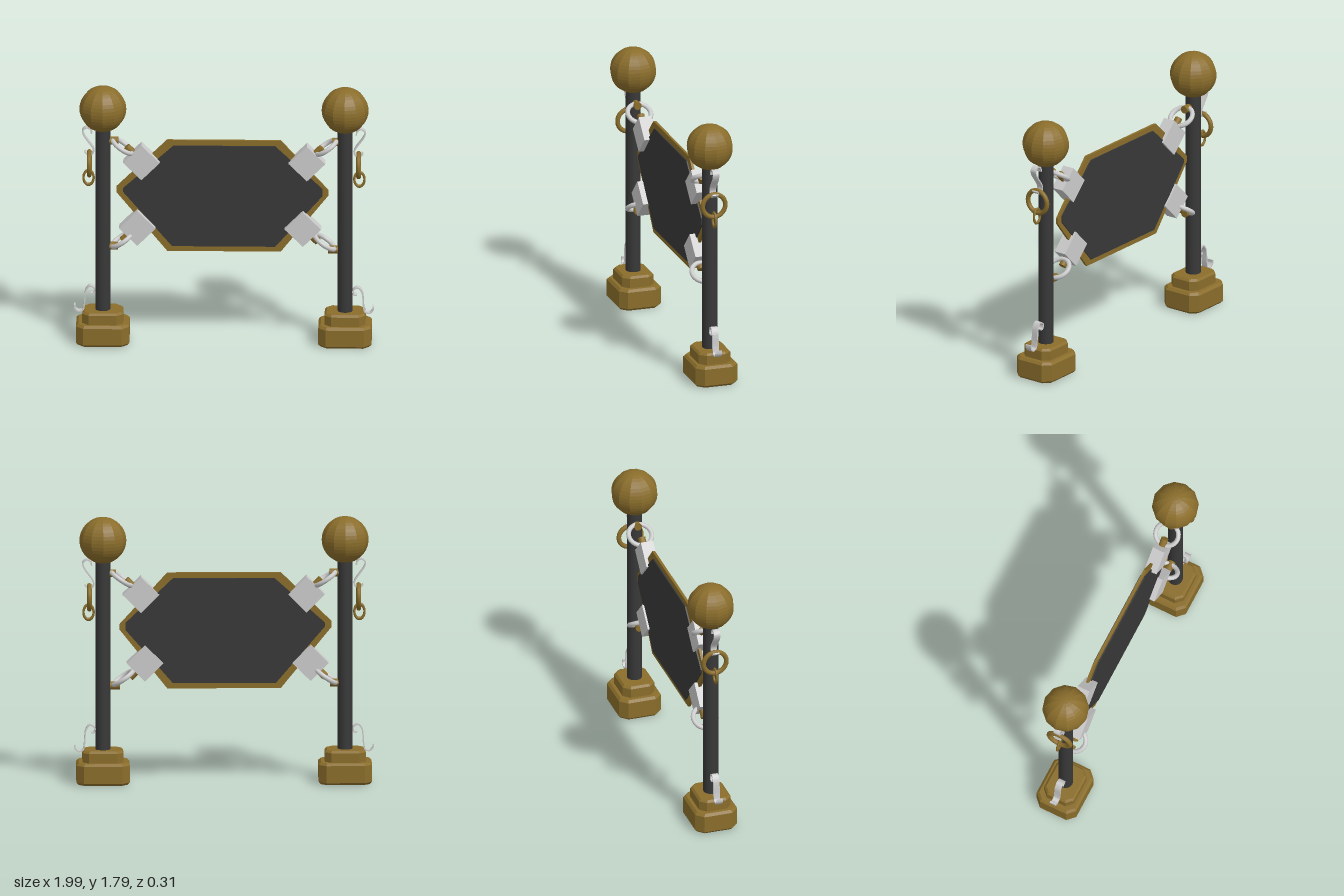
import * as THREE from 'three';

const brass = new THREE.MeshStandardMaterial({ color: 0x8a6d2b });
const brassFlat = new THREE.MeshStandardMaterial({ color: 0x8a6d2b, flatShading: true });
const dark = new THREE.MeshStandardMaterial({ color: 0x383838 });
const steel = new THREE.MeshStandardMaterial({ color: 0xcccccc });

const shapeOf = (pts) => new THREE.Shape(pts.map(([x, y]) => new THREE.Vector2(x, y)));

// Slab of a flat outline, centred on z
function slab(pts, depth, z = 0) {
  const g = new THREE.ExtrudeGeometry(shapeOf(pts), { depth, bevelEnabled: false });
  return g.translate(0, 0, z - depth / 2);
}

// Corner-cut block with bevelled top and bottom edges
function tier(w, d, y0, y1, cut, bevel) {
  const x = w / 2 - bevel, z = d / 2 - bevel;
  const s = shapeOf([[x, -z + cut], [x, z - cut], [x - cut, z], [-x + cut, z],
    [-x, z - cut], [-x, -z + cut], [-x + cut, -z], [x - cut, -z]]);
  const g = new THREE.ExtrudeGeometry(s, {
    depth: y1 - y0 - 2 * bevel, bevelSize: bevel, bevelThickness: bevel, bevelSegments: 1,
  });
  return g.rotateX(-Math.PI / 2).translate(0, y0 + bevel, 0);
}

// Bent flat strip following a curve in the xy plane
function ribbon(pts, thickness, width) {
  const curve = new THREE.CatmullRomCurve3(pts.map(([x, y]) => new THREE.Vector3(x, y, 0)));
  const n = 48, a = [], b = [];
  for (let i = 0; i <= n; i++) {
    const p = curve.getPoint(i / n), t = curve.getTangent(i / n), h = thickness / 2;
    a.push([p.x - t.y * h, p.y + t.x * h]);
    b.unshift([p.x + t.y * h, p.y - t.x * h]);
  }
  return slab([...a, ...b], width);
}

const upperHook = [[0.88, 1.465], [0.885, 1.49], [0.912, 1.506], [0.938, 1.485], [0.933, 1.455],
  [0.869, 1.358], [0.869, 1.328], [0.896, 1.312], [0.925, 1.334]];
const lowerHook = [[0.992, 0.258], [0.991, 0.235], [0.97, 0.213], [0.938, 0.22], [0.928, 0.257],
  [0.917, 0.358], [0.89, 0.39], [0.858, 0.369], [0.864, 0.34], [0.885, 0.337]];

export function createModel() {
  const model = new THREE.Group();
  const add = (parent, name, geometry, material, x = 0, y = 0, z = 0) => {
    const m = new THREE.Mesh(geometry, material);
    m.name = name;
    m.position.set(x, y, z);
    parent.add(m);
    return m;
  };

  // Posts with stepped bases, ball tops, hooks and hanging rings
  for (const s of [1, -1]) {
    const post = new THREE.Group();
    post.name = s > 0 ? 'leftPost' : 'rightPost';
    model.add(post);
    const x = 0.805 * s;
    add(post, 'baseBlock', tier(0.354, 0.294, 0, 0.147, 0.04, 0.016), brassFlat, x, 0, -0.004);
    add(post, 'baseStep', tier(0.272, 0.222, 0.13, 0.225, 0.035, 0.014), brassFlat, x, 0, -0.002);
    add(post, 'shaft', new THREE.CylinderGeometry(0.05, 0.05, 1.33, 20), dark, x, 0.865);
    add(post, 'ballTop', new THREE.SphereGeometry(0.156, 12, 20), brassFlat, x, 1.635);

    const mirrored = (pts) => pts.map(([px, py]) => [px * s, py]);
    add(post, 'upperHook', ribbon(mirrored(upperHook), 0.009, 0.044), steel);
    add(post, 'lowerHook', ribbon(mirrored(lowerHook), 0.009, 0.044), steel);
    add(post, 'hangingRing', new THREE.TorusGeometry(0.079, 0.016, 10, 28).rotateY(Math.PI / 2),
      brass, 0.895 * s, 1.25);
    add(post, 'smallRing', new THREE.TorusGeometry(0.034, 0.008, 8, 24).scale(1, 1.45, 1),
      brass, 0.9 * s, 1.15);
  }

  // Sign: brass border plate with a thicker dark board through it
  const sign = new THREE.Group();
  sign.name = 'sign';
  model.add(sign);
  add(sign, 'border', slab([[-0.377, 1.417], [0.377, 1.417], [0.693, 1.07], [0.693, 1.032],
    [0.377, 0.636], [-0.377, 0.636], [-0.715, 1.048], [-0.715, 1.085]].reverse(), 0.018, -0.008), brass);
  add(sign, 'board', slab([[-0.335, 1.38], [0.34, 1.38], [0.655, 1.08], [0.655, 1.032],
    [0.34, 0.673], [-0.345, 0.673], [-0.671, 1.053], [-0.671, 1.077]].reverse(), 0.036, -0.008), dark);

  // Corner clamps, each linked to its post by a steel ring in two brass sleeves
  const corners = [
    { name: 'upperRight', clamp: [-0.548, 1.27], ring: [-0.675, 1.372], stub: [-0.735, 1.412] },
    { name: 'upperLeft', clamp: [0.552, 1.27], ring: [0.682, 1.375], stub: [0.752, 1.412] },
    { name: 'lowerRight', clamp: [-0.575, 0.808], ring: [-0.678, 0.714], stub: [-0.738, 0.67] },
    { name: 'lowerLeft', clamp: [0.525, 0.808], ring: [0.67, 0.706], stub: [0.724, 0.654] },
  ];
  for (const { name, clamp: [cx, cy], ring: [rx, ry], stub: [sx, sy] } of corners) {
    const corner = new THREE.Group();
    corner.name = name + 'Mount';
    model.add(corner);
    const side = Math.sign(cx), up = Math.sign(cy - 1.03);
    const block = add(corner, 'clamp', new THREE.BoxGeometry(0.172, 0.172, 0.086), steel, cx, cy, 0.004);
    block.rotation.z = Math.PI / 4;
    const link = add(corner, 'linkRing',
      new THREE.TorusGeometry(0.079, 0.016, 10, 28).rotateX(Math.PI / 2), steel, rx, ry);
    link.rotation.z = side * up * 0.6;
    // Sleeve on the clamp face, pointing out along the diagonal
    const sleeve = add(corner, 'clampSleeve', new THREE.CylinderGeometry(0.025, 0.025, 0.07, 14),
      brass, cx + side * 0.075, cy + up * 0.075);
    sleeve.rotation.z = -side * up * Math.PI / 4;
    // Sleeve on the post
    const stub = add(corner, 'postSleeve', new THREE.CylinderGeometry(0.026, 0.026, 0.065, 14), brass, sx, sy);
    stub.rotation.z = Math.PI / 2;
  }
  return model;
}
